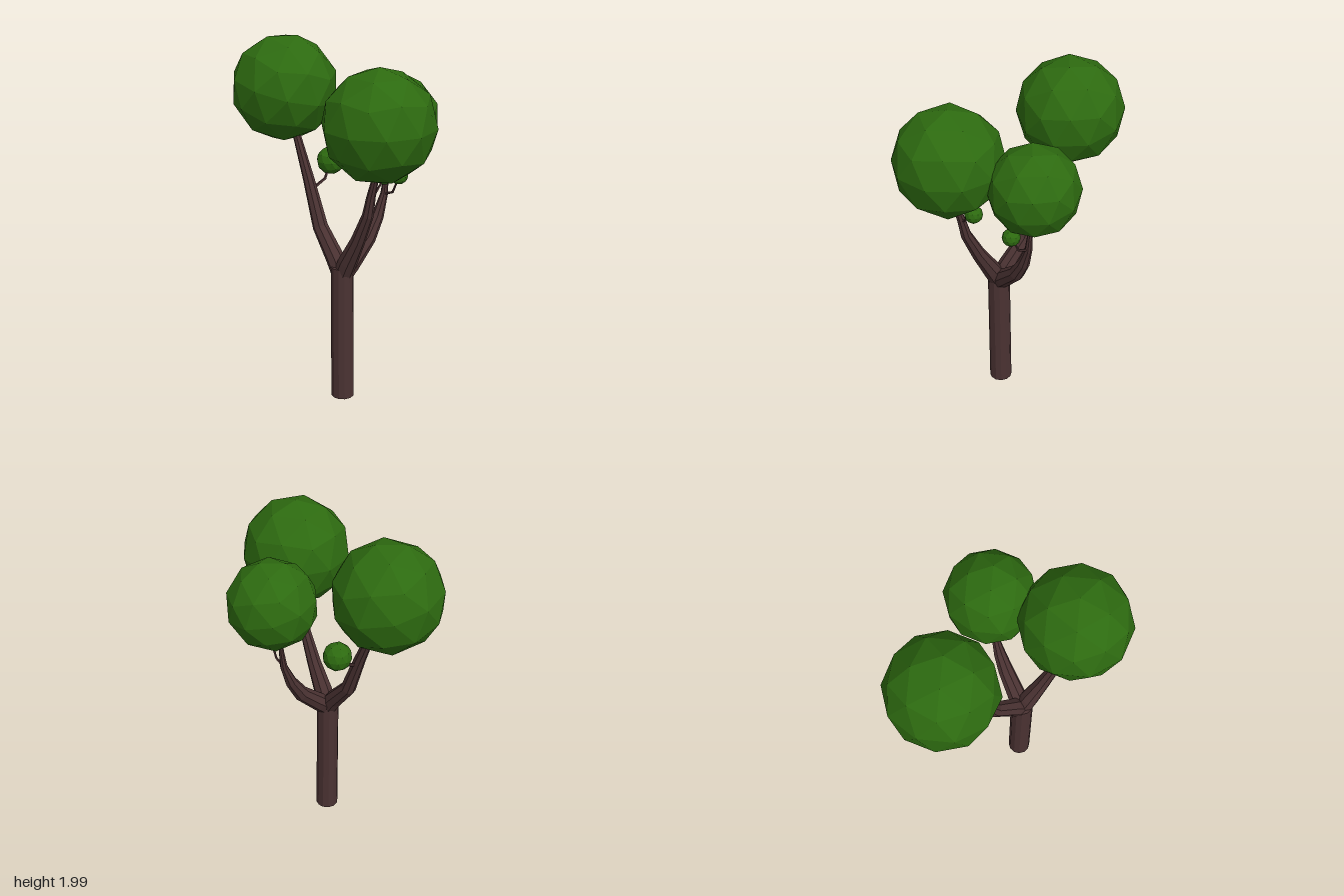
import * as THREE from 'three';

const bark = new THREE.MeshStandardMaterial({ color: 0x4a3232, flatShading: true });
const leaf = new THREE.MeshStandardMaterial({ color: 0x2d6a10, flatShading: true });
const UP = new THREE.Vector3(0, 1, 0);

// Tapered limb lofted through stations [x, y, z, radius], closed at both ends
function limb(name, stations, sides) {
  const pts = stations.map(([x, y, z]) => new THREE.Vector3(x, y, z));
  const n = pts.length, pos = [], idx = [];
  stations.forEach(([, , , r], i) => {
    const dir = new THREE.Vector3().subVectors(pts[Math.min(i + 1, n - 1)], pts[Math.max(i - 1, 0)]).normalize();
    const q = new THREE.Quaternion().setFromUnitVectors(UP, dir);
    for (let k = 0; k < sides; k++) {
      const a = (k / sides) * Math.PI * 2;
      pos.push(...new THREE.Vector3(Math.cos(a) * r, 0, Math.sin(a) * r).applyQuaternion(q).add(pts[i]));
    }
  });
  for (let i = 0; i < n - 1; i++) {
    for (let k = 0; k < sides; k++) {
      const a = i * sides + k, b = i * sides + (k + 1) % sides;
      idx.push(a, a + sides, b, b, a + sides, b + sides);
    }
  }
  const top = (n - 1) * sides;
  for (let k = 1; k < sides - 1; k++) idx.push(0, k, k + 1, top, top + k + 1, top + k);
  const geo = new THREE.BufferGeometry();
  geo.setAttribute('position', new THREE.Float32BufferAttribute(pos, 3));
  geo.setIndex(idx);
  geo.computeVertexNormals();
  const mesh = new THREE.Mesh(geo, bark);
  mesh.name = name;
  return mesh;
}

// Faceted leaf ball with a vertex at its pole, optionally tipped
function foliage(name, x, y, z, r, tilt = 0) {
  const geo = new THREE.IcosahedronGeometry(r, 1);
  geo.rotateZ(-Math.atan(2 / (1 + Math.sqrt(5))));
  const mesh = new THREE.Mesh(geo, leaf);
  mesh.rotation.set(tilt, 0, -tilt);
  mesh.position.set(x, y, z);
  mesh.name = name;
  return mesh;
}

export function createModel() {
  const tree = new THREE.Group();
  tree.name = 'tree';

  // Trunk and the three main branches
  tree.add(
    limb('trunk', [[-0.16, 0, 0.088, 0.065], [-0.16, 0.79, 0.088, 0.063]], 12),
    limb('backBranch', [
      [-0.16, 0.74, 0.085, 0.055], [-0.16, 0.82, 0.03, 0.052], [-0.16, 0.97, -0.095, 0.043],
      [-0.16, 1.22, -0.19, 0.032], [-0.16, 1.5, -0.31, 0.02]], 8),
    limb('frontBranch', [
      [-0.16, 0.74, 0.09, 0.055], [-0.16, 0.83, 0.135, 0.053], [-0.16, 0.98, 0.22, 0.04],
      [-0.16, 1.14, 0.295, 0.031], [-0.16, 1.25, 0.32, 0.024], [-0.16, 1.42, 0.37, 0.015]], 8),
    limb('leftBranch', [
      [-0.16, 0.73, 0.09, 0.05], [-0.1, 0.79, 0.09, 0.053], [0.03, 0.91, 0.09, 0.044],
      [0.1, 1.02, 0.09, 0.034], [0.147, 1.14, 0.09, 0.021], [0.162, 1.25, 0.09, 0.014],
      [0.17, 1.4, 0.09, 0.01]], 8));

  // Thin twigs carrying the small leaf balls
  tree.add(
    limb('backTwig', [[-0.15, 1.17, -0.17, 0.01], [-0.06, 1.21, -0.17, 0.008], [-0.01, 1.28, -0.19, 0.006]], 5),
    limb('frontTwig', [[-0.15, 1.24, 0.32, 0.007], [-0.1, 1.29, 0.315, 0.006], [-0.05, 1.33, 0.305, 0.005]], 5),
    limb('leftTwig', [[0.147, 1.14, 0.09, 0.008], [0.15, 1.165, 0.155, 0.007], [0.152, 1.25, 0.195, 0.005]], 5));

  // Crowns and small leaf balls
  tree.add(
    foliage('backCrown', -0.16, 1.705, -0.39, 0.297, 0.18),
    foliage('frontCrown', -0.16, 1.64, 0.378, 0.3),
    foliage('leftCrown', 0.21, 1.563, 0.097, 0.247, 0.18),
    foliage('backLeafBall', 0, 1.3, -0.19, 0.08),
    foliage('frontLeafBall', -0.052, 1.34, 0.305, 0.05),
    foliage('leftLeafBall', 0.152, 1.272, 0.202, 0.05));

  return tree;
}
